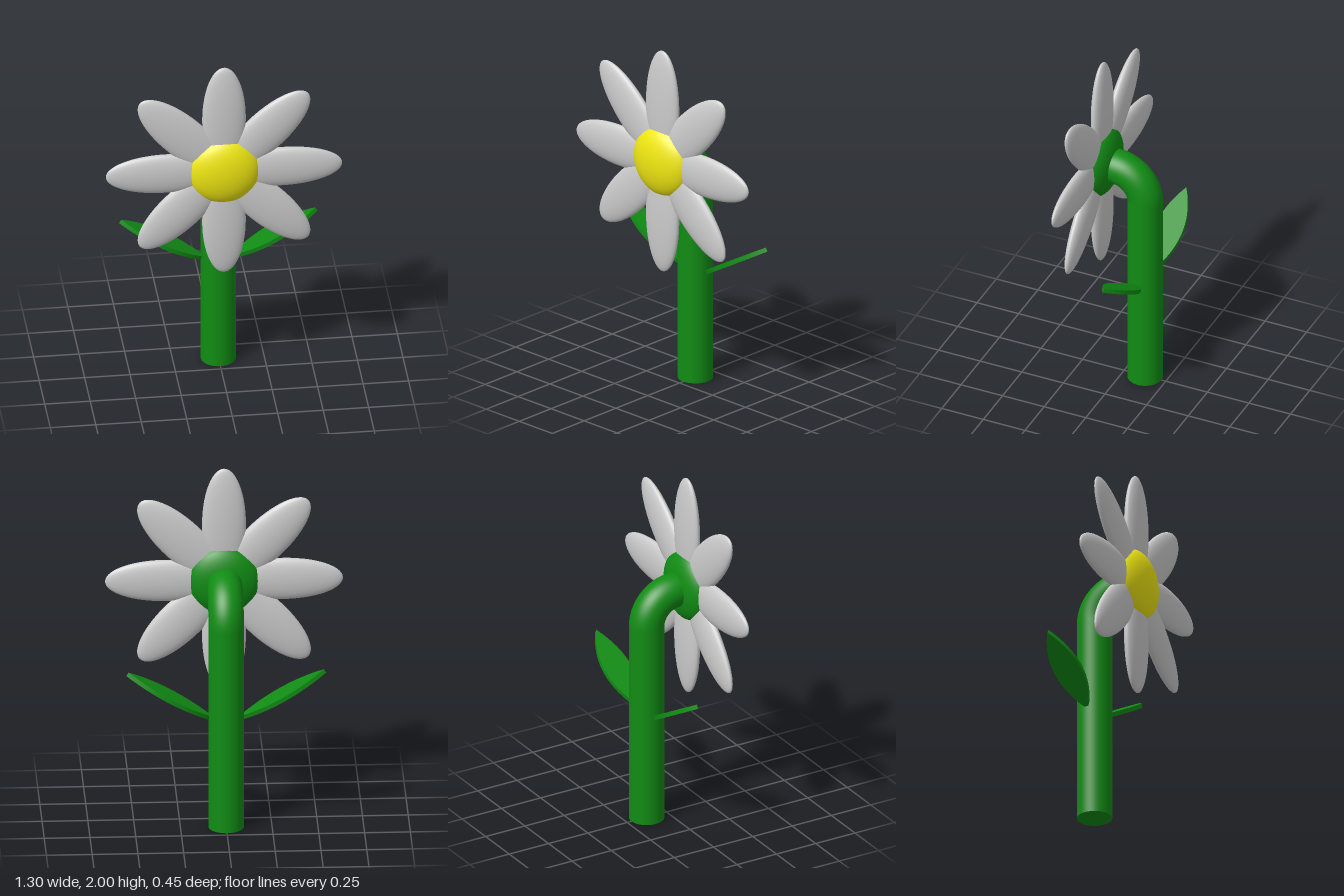
import * as THREE from 'three';

const STEM_Z = -0.126, STEM_R = 0.097, BEND_Y = 1.165, BEND_R = 0.177;
const HEAD_Y = 1.35, HEAD_Z = 0.132;

export function createModel() {
  const flower = new THREE.Group();
  flower.name = 'flower';
  const grey = new THREE.MeshStandardMaterial({ color: 0xcccccc });
  const green = new THREE.MeshStandardMaterial({ color: 0x118c14 });
  const yellow = new THREE.MeshStandardMaterial({ color: 0xf0e812 });

  const add = (parent, name, geometry, material) => {
    const mesh = new THREE.Mesh(geometry, material);
    mesh.name = name;
    parent.add(mesh);
    return mesh;
  };

  // Stem: upright, quarter bend, and a short neck running into the head
  const stem = new THREE.Group();
  stem.name = 'stem';
  flower.add(stem);
  add(stem, 'stemUpright', new THREE.CylinderGeometry(STEM_R, STEM_R, BEND_Y, 48), green)
    .position.set(0, BEND_Y / 2, STEM_Z);
  add(stem, 'stemBend', new THREE.TorusGeometry(BEND_R, STEM_R, 48, 32, Math.PI / 2).rotateY(Math.PI / 2), green)
    .position.set(0, BEND_Y, STEM_Z + BEND_R);
  add(stem, 'stemNeck', new THREE.CylinderGeometry(STEM_R, STEM_R, 0.05, 48).rotateX(Math.PI / 2), green)
    .position.set(0, BEND_Y + BEND_R, STEM_Z + BEND_R + 0.025);

  // Head: yellow dome in front, green dome behind
  const head = new THREE.Group();
  head.name = 'head';
  head.position.set(0, HEAD_Y, HEAD_Z);
  flower.add(head);
  const dome = (side) => new THREE.SphereGeometry(1, 48, 20, 0, Math.PI * 2, 0, Math.PI / 2)
    .rotateX(side * Math.PI / 2).scale(0.2, 0.2, 0.091);
  add(head, 'centre', dome(1), yellow);
  add(head, 'backCup', dome(-1), green);

  // Eight flattened ellipsoid petals
  const petal = new THREE.SphereGeometry(1, 40, 28).scale(0.12, 0.325, 0.041).translate(0, 0.325, 0);
  for (let i = 0; i < 8; i++) {
    add(head, 'petal', petal, grey).rotation.z = i * Math.PI / 4;
  }

  // Leaves: thin pointed lens shapes rising outward at 30 degrees
  const length = 0.54, start = 0.08;
  const outline = new THREE.Shape();
  outline.moveTo(0, 0);
  outline.quadraticCurveTo(length / 2, 0.163, length, 0);
  outline.quadraticCurveTo(length / 2, -0.163, 0, 0);
  const leaf = new THREE.ExtrudeGeometry(outline, { depth: 0.024, bevelEnabled: false, curveSegments: 24 })
    .translate(0, 0, -0.012).rotateX(Math.PI / 2).rotateZ(Math.PI / 6).translate(start - 0.008, 0, 0);
  for (const [name, turn] of [['leftLeaf', 0], ['rightLeaf', Math.PI]]) {
    const mesh = add(flower, name, leaf, green);
    mesh.position.set(0, 0.635, STEM_Z);
    mesh.rotation.y = turn;
  }
  return flower;
}
